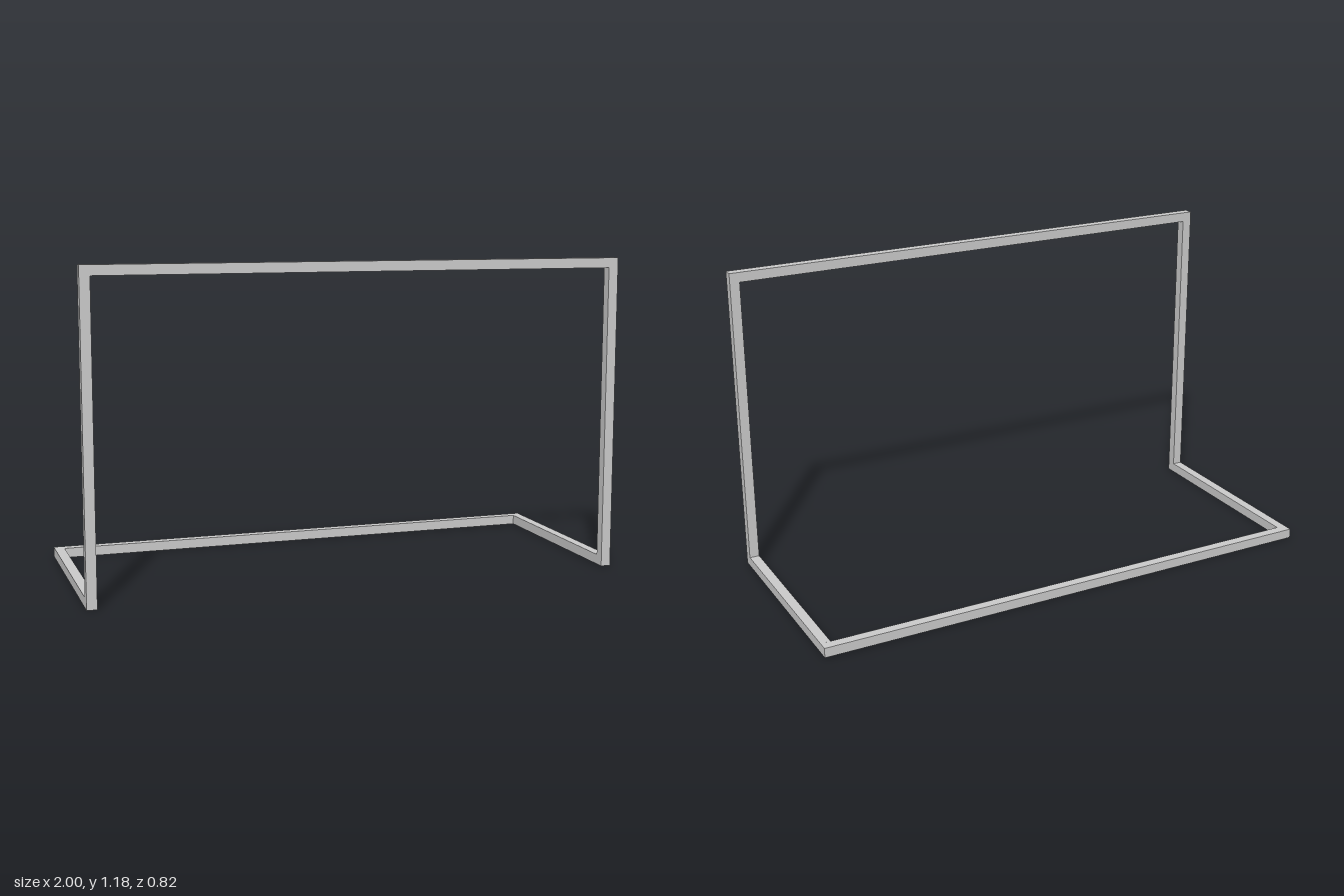
import * as THREE from 'three';

export function createModel() {
  const goal = new THREE.Group();
  goal.name = 'goalFrame';
  const material = new THREE.MeshStandardMaterial({ color: 0xcccccc, flatShading: true });

  const T = 0.037;      // square tube thickness
  const TOP = 1.178;    // height of the frame
  const FRONT = 0.41;   // front face of the posts
  const BACK = -0.412;  // rear face of the ground bar

  // Box given by its lower and upper corners
  function bar(name, [x0, y0, z0], [x1, y1, z1]) {
    const geometry = new THREE.BoxGeometry(x1 - x0, y1 - y0, z1 - z0);
    const mesh = new THREE.Mesh(geometry, material);
    mesh.position.set((x0 + x1) / 2, (y0 + y1) / 2, (z0 + z1) / 2);
    mesh.name = name;
    goal.add(mesh);
    return mesh;
  }

  // Posts and the ground rails running back from them
  for (const [side, s, foot] of [['left', 1, 0.006], ['right', -1, 0.002]]) {
    const x0 = s > 0 ? 1 - T : -1;
    bar(side + 'Post', [x0, foot, FRONT - T], [x0 + T, TOP - T, FRONT]);
    bar(side + 'GroundRail', [x0, foot, BACK + T], [x0 + T, foot + T, FRONT - T]);
  }

  // Crossbar over the posts
  bar('crossbar', [-1, TOP - T, FRONT - T], [1, TOP, FRONT]);

  // Rear ground bar, tilted slightly to meet both rails
  const rear = bar('rearGroundBar', [-1, 0.004, BACK], [1, 0.004 + T, BACK + T]);
  rear.rotation.z = 0.002;

  return goal;
}
